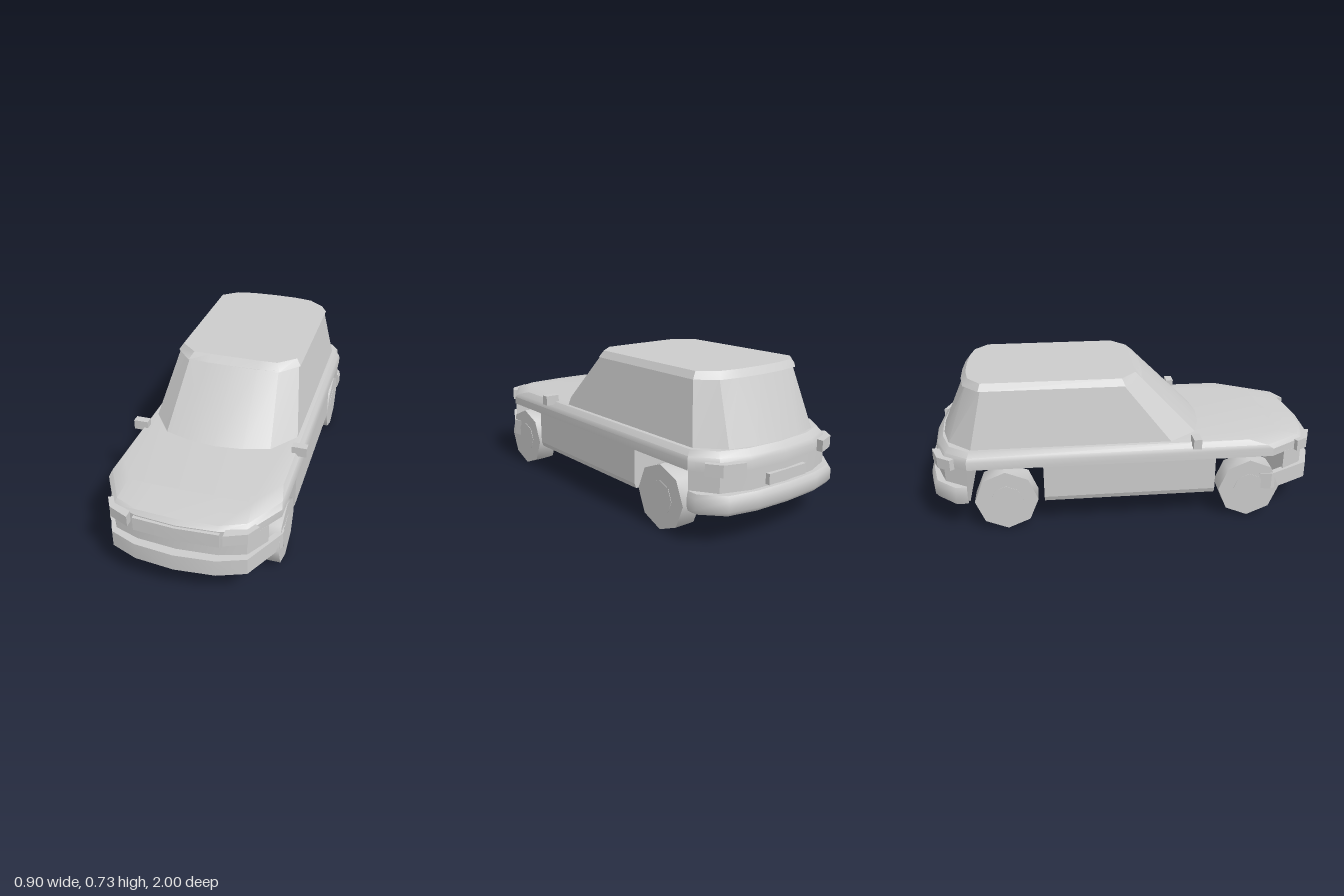
import * as THREE from 'three';
import { toCreasedNormals } from 'three/addons/utils/BufferGeometryUtils.js';

const paint = new THREE.MeshStandardMaterial({ color: 0xcccccc });
paint.name = 'light grey';

function part(name, geometry, parent) {
  const mesh = new THREE.Mesh(geometry, paint);
  mesh.name = name;
  parent.add(mesh);
  return mesh;
}

// Half outline [x, z] from front centre to rear centre, mirrored to a full loop
function mirrorLoop(half) {
  const back = half.slice(1, -1).reverse().map(([x, z]) => [-x, z]);
  return [...half, ...back];
}

// Skin between level rings given as [y, half outline], closed by caps
function loft(levels, crease = 0.6) {
  const rings = levels.map(([y, half]) => mirrorLoop(half).map(([x, z]) => [x, y, z]));
  const n = rings[0].length;
  const pos = rings.flat(2);
  const index = [];
  for (let r = 0; r < rings.length - 1; r++) {
    for (let i = 0; i < n; i++) {
      const a = r * n + i, b = r * n + (i + 1) % n;
      index.push(a, b, b + n, a, b + n, a + n);
    }
  }
  const last = (rings.length - 1) * n;
  const flat = rings[0].map(p => new THREE.Vector2(p[0], -p[2]));
  for (const [a, b, c] of THREE.ShapeUtils.triangulateShape(flat, [])) {
    index.push(a, c, b, last + a, last + b, last + c);
  }
  const g = new THREE.BufferGeometry();
  g.setAttribute('position', new THREE.Float32BufferAttribute(pos, 3));
  g.setIndex(index);
  return toCreasedNormals(g, crease);
}

// Upright prism over a plan outline [x, z]
function prism(points, y0, y1) {
  const shape = new THREE.Shape(points.map(([x, z]) => new THREE.Vector2(x, -z)));
  const g = new THREE.ExtrudeGeometry(shape, { depth: y1 - y0, bevelEnabled: false });
  g.rotateX(-Math.PI / 2).translate(0, y0, 0);
  return toCreasedNormals(g, 0.5);
}

function box(x0, x1, y0, y1, z0, z1) {
  return new THREE.BoxGeometry(x1 - x0, y1 - y0, z1 - z0)
    .translate((x0 + x1) / 2, (y0 + y1) / 2, (z0 + z1) / 2);
}

export function createModel() {
  const car = new THREE.Group();
  car.name = 'car';

  // Lower body: floor section, nose and tail, with open wheel wells between
  const nose = [[0, 0.955], [0.19, 0.94], [0.31, 0.9], [0.378, 0.79], [0, 0.79]];
  const noseFoot = [[0, 0.94], [0.18, 0.925], [0.295, 0.885], [0.36, 0.79], [0, 0.79]];
  const tail = [[0, -0.785], [0.415, -0.785], [0.34, -0.9], [0.2, -0.95], [0, -0.965]];
  const tailFoot = [[0, -0.785], [0.38, -0.785], [0.32, -0.885], [0.19, -0.93], [0, -0.945]];
  const floor = w => [[0, 0.43], [w, 0.43], [w, -0.42], [0, -0.42]];
  part('floorSection', loft([[0.14, floor(0.41)], [0.165, floor(0.42)], [0.33, floor(0.42)]], 0.2), car);
  part('noseLower', loft([[0.14, noseFoot], [0.165, nose], [0.33, nose]], 0.5), car);
  part('tailLower', loft([[0.14, tailFoot], [0.165, tail], [0.33, tail]], 0.5), car);

  // Upper body: full length belt with bonnet and rear deck
  const belt = [[0, 0.955], [0.19, 0.94], [0.31, 0.9], [0.42, 0.72],
    [0.42, -0.785], [0.34, -0.9], [0.2, -0.95], [0, -0.965]];
  const shoulder = [[0, 0.935], [0.19, 0.925], [0.305, 0.875], [0.413, 0.69],
    [0.413, -0.78], [0.335, -0.89], [0.2, -0.94], [0, -0.955]];
  const deck = [[0, 0.77], [0.15, 0.77], [0.295, 0.765], [0.395, 0.6],
    [0.395, -0.77], [0.32, -0.87], [0.19, -0.915], [0, -0.93]];
  part('upperBody', loft([[0.33, belt], [0.37, belt], [0.39, shoulder], [0.415, deck]], 0.55), car);

  // Cabin with raked screens
  const cabinBase = [[0, 0.41], [0.14, 0.395], [0.27, 0.355], [0.375, 0.215],
    [0.375, -0.765], [0.27, -0.88], [0.14, -0.915], [0, -0.925]];
  const cabinTop = [[0, 0.1], [0.13, 0.098], [0.235, 0.08], [0.318, -0.02],
    [0.318, -0.7], [0.235, -0.775], [0.13, -0.79], [0, -0.795]];
  part('cabin', loft([[0.41, cabinBase], [0.7, cabinTop]], 0.45), car);

  // Roof panel with bevelled rim
  const rim = [[0, 0.105], [0.13, 0.102], [0.24, 0.085], [0.327, -0.01],
    [0.327, -0.71], [0.24, -0.79], [0.13, -0.808], [0, -0.813]];
  const roof = [[0, 0.053], [0.13, 0.053], [0.22, 0.05], [0.305, -0.025],
    [0.305, -0.7], [0.225, -0.765], [0.13, -0.782], [0, -0.787]];
  part('roof', loft([[0.695, rim], [0.728, roof]], 0.5), car);

  // Bumpers
  const frontEdge = [[0, 0.998], [0.19, 0.98], [0.32, 0.93], [0.43, 0.72], [0.42, 0.66]];
  const frontInner = [[0.395, 0.66], [0.4, 0.715], [0.3, 0.9], [0.18, 0.94], [0, 0.95]];
  const flip = list => list.slice(0).reverse().map(([x, z]) => [-x, z]);
  const bumperPlan = [...frontEdge, ...frontInner, ...flip(frontInner).slice(1), ...flip(frontEdge).slice(0, -1)];
  part('frontBumper', prism(bumperPlan.filter(([x, z], i) => i === 0 || x !== 0 || z < 0.99), 0.15, 0.235), car);
  const rear = s => [[0, -0.79], [0.425 * s, -0.79], [0.425 * s, -0.845], [0.335 * s, -0.955 * s],
    [0.19 * s, -0.988 * s], [0, -0.998 * s]];
  part('rearBumper', loft([[0.15, rear(0.985)], [0.17, rear(1)], [0.22, rear(1)], [0.24, rear(0.985)]], 0.9), car);

  // Grille and number plate
  part('grille', prism([[-0.2, 0.92], [0.2, 0.92], [0.2, 0.955], [0, 0.968], [-0.2, 0.955]], 0.295, 0.365), car);
  part('numberPlate', box(-0.12, 0.12, 0.25, 0.3, -0.978, -0.94), car);

  // Paired lamps and mirrors
  for (const [side, s] of [['left', 1], ['right', -1]]) {
    const m = pts => pts.map(([x, z]) => [x * s, z]);
    part(side + 'Headlight', prism(m([[0.22, 0.968], [0.32, 0.925], [0.355, 0.865],
      [0.33, 0.85], [0.29, 0.89], [0.22, 0.91]]), 0.32, 0.375), car);
    part(side + 'TailLight', prism(m([[0.25, -0.965], [0.35, -0.93], [0.395, -0.865],
      [0.37, -0.84], [0.32, -0.89], [0.25, -0.92]]), 0.32, 0.375), car);
    const mirror = part(side + 'Mirror', box(-0.037, 0.037, 0.4, 0.45, 0.31, 0.35), car);
    mirror.position.x = 0.411 * s;

    // Eight-sided wheels with thin hubs
    for (const [end, z] of [['Front', 0.607], ['Rear', -0.605]]) {
      const wheel = new THREE.Group();
      wheel.name = side + end + 'Wheel';
      wheel.position.set(0.367 * s, 0.155, z);
      const turn = r => new THREE.CylinderGeometry(r, r, 0.105, 8).rotateZ(Math.PI / 2);
      part('tyre', toCreasedNormals(turn(0.155), 0.9), wheel);
      part('hub', turn(0.08), wheel).position.x = 0.002 * s;
      car.add(wheel);
    }
  }
  return car;
}
